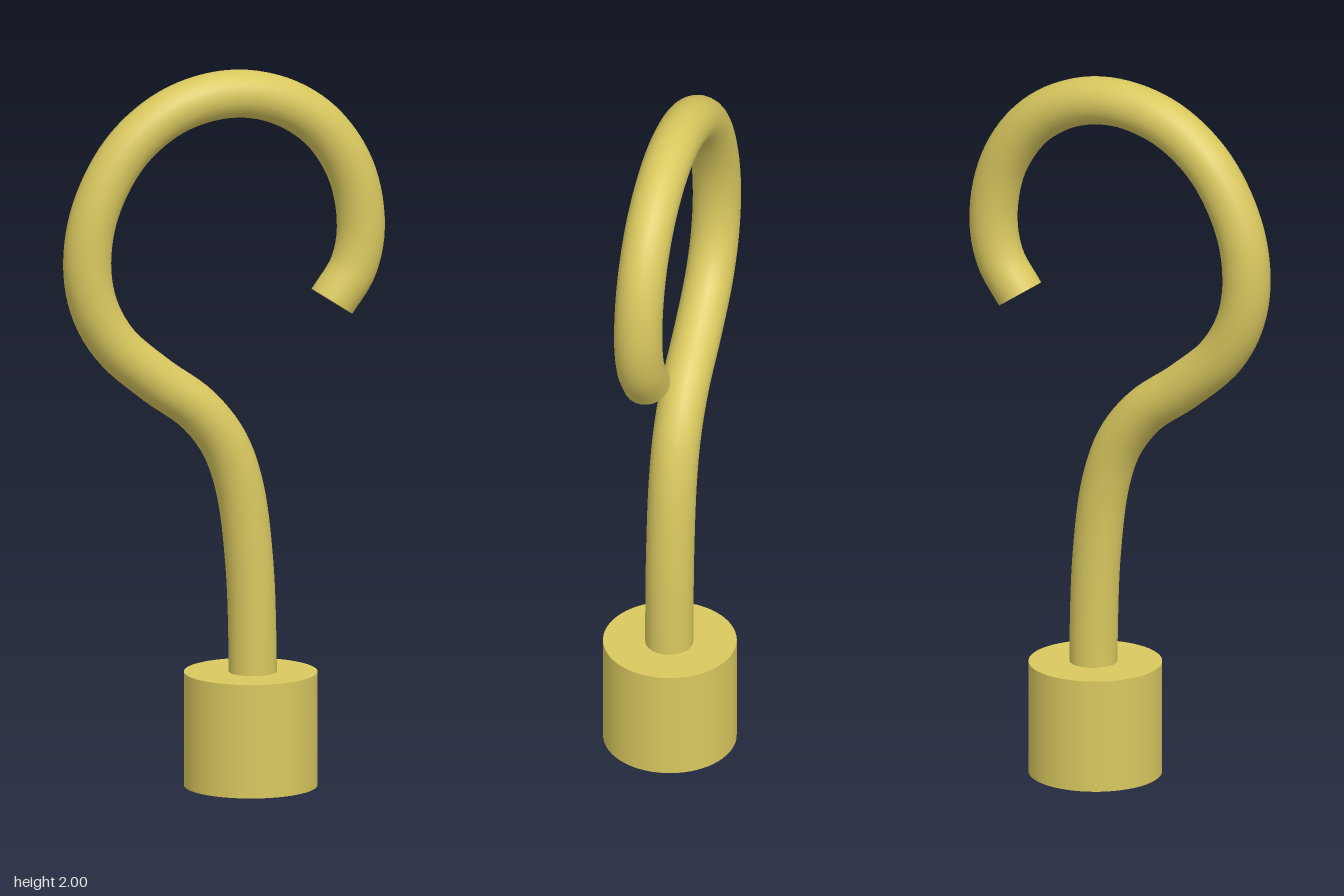
import * as THREE from 'three';

const TUBE_RADIUS = 0.066;
const BASE = { x: 0.074, radius: 0.183, height: 0.317 };

export function createModel() {
  const group = new THREE.Group();
  const material = new THREE.MeshStandardMaterial({ color: 0xd9c85f });

  function add(name, geometry) {
    const mesh = new THREE.Mesh(geometry, material);
    mesh.name = name;
    group.add(mesh);
    return mesh;
  }

  // Cylindrical base
  add('base', new THREE.CylinderGeometry(BASE.radius, BASE.radius, BASE.height, 64))
    .position.set(BASE.x, BASE.height / 2, 0);

  // Centre line of the rod: up the shank, round the bend, over the hook to its tip
  const path = new THREE.CatmullRomCurve3([
    [0.08, 0.2], [0.079, 0.4], [0.07, 0.62], [0.042, 0.833], [-0.003, 0.96],
    [-0.08, 1.06], [-0.204, 1.153], [-0.32, 1.257], [-0.381, 1.365],
    [-0.401, 1.49], [-0.375, 1.64], [-0.285, 1.797], [-0.15, 1.898],
    [0.01, 1.934], [0.155, 1.907], [0.28, 1.826], [0.366, 1.694],
    [0.394, 1.54], [0.372, 1.427], [0.31, 1.334],
  ].map(([x, y]) => new THREE.Vector3(x, y, 0)));
  add('hookRod', new THREE.TubeGeometry(path, 120, TUBE_RADIUS, 24));

  // Flat end face of the hook
  const tip = add('hookTip', new THREE.CircleGeometry(TUBE_RADIUS, 24));
  tip.position.copy(path.getPointAt(1));
  tip.quaternion.setFromUnitVectors(new THREE.Vector3(0, 0, 1), path.getTangentAt(1));

  return group;
}
